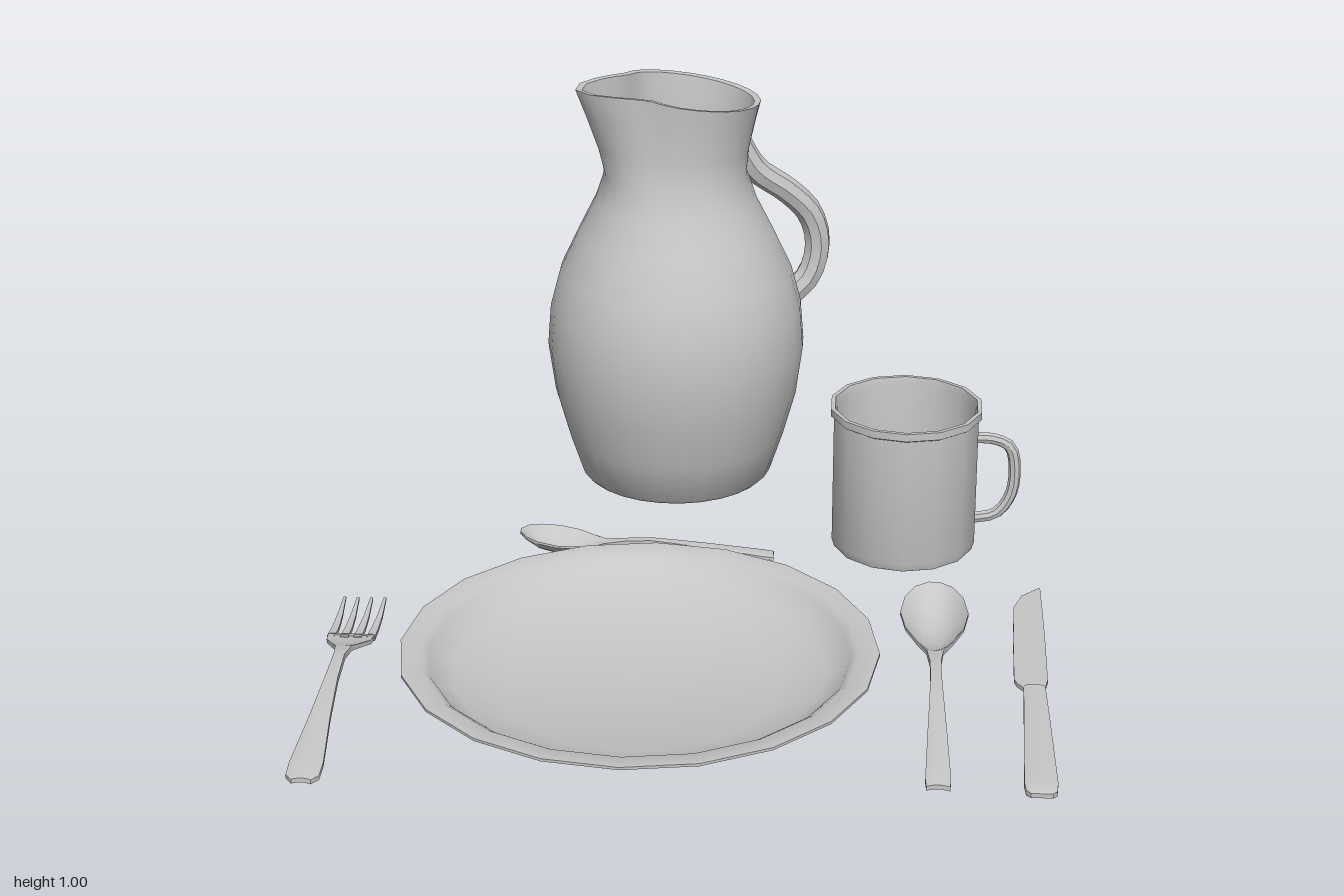
import * as THREE from 'three';
import { toCreasedNormals } from 'three/addons/utils/BufferGeometryUtils.js';

const grey = new THREE.MeshStandardMaterial({ color: 0xc6c6c6 });
grey.name = 'grey';

function part(name, geometry, crease = 0.7) {
  geometry.deleteAttribute('uv');
  const mesh = new THREE.Mesh(toCreasedNormals(geometry, crease), grey);
  mesh.name = name;
  return mesh;
}

const lathe = (points, sides) =>
  new THREE.LatheGeometry(points.map(([r, y]) => new THREE.Vector2(r, y)), sides);

// Tube through points in the x-y plane, scaled in z for flat straps
function strap(points, radius, flat = 1) {
  const path = new THREE.CatmullRomCurve3(points.map(([x, y]) => new THREE.Vector3(x, y, 0)));
  return new THREE.TubeGeometry(path, 16, radius, 8).scale(1, 1, flat);
}

// Solid strip along z; stations are [z, centreX, halfWidth, y, thickness, hollowDepth]
function strip(stations) {
  const M = 7, ring = M * 2, pos = [], idx = [];
  for (const [z, cx, hw, y, t, hollow = 0] of stations) {
    for (let k = 0; k < ring; k++) {
      const top = k < M;
      const u = ((top ? k : ring - 1 - k) / (M - 1)) * 2 - 1;
      pos.push(cx + u * hw, y - hollow * (1 - u * u) + (top ? t / 2 : -t / 2), z);
    }
  }
  const last = stations.length - 1;
  for (let i = 0; i < last; i++) {
    for (let j = 0; j < ring; j++) {
      const a = i * ring + j, b = i * ring + (j + 1) % ring;
      idx.push(a, a + ring, b, a + ring, b + ring, b);
    }
  }
  for (let j = 1; j < ring - 1; j++) {
    idx.push(0, j, j + 1);
    idx.push(last * ring, last * ring + j + 1, last * ring + j);
  }
  const g = new THREE.BufferGeometry();
  g.setAttribute('position', new THREE.Float32BufferAttribute(pos, 3));
  g.setIndex(idx);
  return g;
}

function createPitcher() {
  const group = new THREE.Group();
  group.name = 'pitcher';
  const body = lathe([
    [0, 0], [0.225, 0], [0.235, 0.01], [0.268, 0.11], [0.298, 0.22], [0.314, 0.34], [0.306, 0.44],
    [0.282, 0.53], [0.235, 0.63], [0.195, 0.71], [0.17, 0.78], [0.163, 0.85], [0.163, 0.93], [0.165, 1],
    [0.15, 0.998], [0.148, 0.93], [0.148, 0.85], [0.155, 0.78], [0.18, 0.71], [0.22, 0.63],
    [0.265, 0.53], [0.297, 0.36], [0.25, 0.11], [0.21, 0.025], [0, 0.025],
  ], 28);
  // Pull out the spout, pinch beside it and lower the rim toward the handle
  const p = body.attributes.position;
  for (let i = 0; i < p.count; i++) {
    const x = p.getX(i), y = p.getY(i), z = p.getZ(i), r = Math.hypot(x, z);
    if (y < 0.77 || r < 0.01) continue;
    const w = (y - 0.77) / 0.23;
    const a = Math.abs(Math.atan2(z, -x));
    const back = (1 - Math.cos(a)) / 2;
    const spout = 0.08 * Math.exp(-((a / 0.45) ** 2));
    const pinch = 0.014 * Math.exp(-(((a - 0.9) / 0.25) ** 2));
    const k = (r + w * (spout - pinch + 0.04 * back ** 2)) / r;
    p.setXYZ(i, x * k, y - 0.05 * w * back ** 1.3, z * k);
  }
  group.add(part('pitcherBody', body, 0.8));
  group.add(part('pitcherHandle', strap([
    [0.16, 0.83], [0.2, 0.765], [0.285, 0.7], [0.34, 0.64], [0.362, 0.56], [0.34, 0.475], [0.285, 0.425],
  ], 0.032)));
  group.position.set(-0.09, 0, -0.69);
  group.rotation.y = 0.34;
  return group;
}

function createMug() {
  const group = new THREE.Group();
  group.name = 'mug';
  group.add(part('mugBody', lathe([
    [0, 0], [0.145, 0], [0.165, 0.01], [0.171, 0.03], [0.171, 0.338], [0.178, 0.342], [0.178, 0.36],
    [0.168, 0.36], [0.164, 0.34], [0.164, 0.03], [0.15, 0.015], [0, 0.015],
  ], 14)));
  group.add(part('mugHandle', strap([
    [0.16, 0.28], [0.205, 0.278], [0.243, 0.26], [0.256, 0.2], [0.248, 0.135], [0.215, 0.088], [0.16, 0.075],
  ], 0.014, 0.9)));
  group.position.set(0.473, 0, -0.27);
  return group;
}

function createPlate() {
  const plate = part('plate', lathe([
    [0, 0], [0.28, 0], [0.37, 0.032], [0.51, 0.102], [0.51, 0.108], [0.465, 0.106], [0.45, 0.096],
    [0.435, 0.075], [0.4, 0.058], [0.3, 0.022], [0, 0.016],
  ], 20), 0.9);
  plate.position.set(-0.09, 0, 0.49);
  return plate;
}

function createSpoon(name) {
  return part(name, strip([
    [0.09, 0, 0.012, 0.078, 0.008, 0], [0.11, 0, 0.042, 0.076, 0.008, 0.018],
    [0.15, 0, 0.065, 0.07, 0.008, 0.04], [0.21, 0, 0.075, 0.062, 0.008, 0.048],
    [0.27, 0, 0.064, 0.055, 0.008, 0.04], [0.32, 0, 0.04, 0.048, 0.009, 0.02],
    [0.36, 0, 0.018, 0.045, 0.012, 0], [0.42, 0, 0.012, 0.05, 0.016],
    [0.5, 0, 0.012, 0.054, 0.016], [0.58, 0, 0.015, 0.048, 0.014],
    [0.7, 0, 0.02, 0.036, 0.012, -0.004], [0.86, 0, 0.026, 0.018, 0.01, -0.004],
    [0.885, 0, 0.024, 0.015, 0.01, -0.004],
  ]));
}

function createFork() {
  const group = new THREE.Group();
  group.name = 'fork';
  group.add(part('forkHandle', strip([
    [0.31, 0, 0.051, 0.02, 0.01, 0.006], [0.345, 0, 0.049, 0.024, 0.01, 0.006],
    [0.38, 0, 0.034, 0.034, 0.01, 0.003], [0.41, 0, 0.018, 0.042, 0.012],
    [0.46, 0, 0.012, 0.048, 0.014], [0.56, 0, 0.014, 0.044, 0.014],
    [0.7, 0, 0.022, 0.03, 0.012, -0.004], [0.86, 0, 0.035, 0.012, 0.01, -0.006],
    [0.905, 0, 0.034, 0.008, 0.01, -0.006], [0.922, 0, 0.02, 0.007, 0.01, -0.004],
  ])));
  for (const x of [-0.044, -0.0147, 0.0147, 0.044]) {
    group.add(part('forkTine', strip([
      [0.13, x * 1.04, 0.003, 0.022, 0.005], [0.2, x * 1.02, 0.006, 0.012, 0.008],
      [0.26, x, 0.008, 0.012, 0.009], [0.32, x, 0.009, 0.019, 0.01],
    ])));
  }
  group.position.x = -0.74;
  return group;
}

function createKnife() {
  const group = new THREE.Group();
  group.name = 'knife';
  group.add(part('knifeBlade', strip([
    [-0.01, 0.781, 0.003, 0.02, 0.005], [0.03, 0.762, 0.022, 0.02, 0.006],
    [0.09, 0.752, 0.032, 0.02, 0.007], [0.25, 0.748, 0.035, 0.02, 0.008],
    [0.43, 0.744, 0.036, 0.02, 0.008], [0.45, 0.745, 0.031, 0.02, 0.009],
    [0.47, 0.75, 0.022, 0.02, 0.01],
  ])));
  group.add(part('knifeHandle', strip([
    [0.46, 0.75, 0.023, 0.02, 0.012, -0.004], [0.6, 0.749, 0.027, 0.019, 0.012, -0.004],
    [0.86, 0.746, 0.034, 0.016, 0.012, -0.004], [0.89, 0.746, 0.031, 0.015, 0.012, -0.003],
    [0.9, 0.746, 0.022, 0.015, 0.01],
  ])));
  return group;
}

export function createModel() {
  const model = new THREE.Group();
  model.name = 'tableSetting';
  const spoon = createSpoon('soupSpoon');
  spoon.position.x = 0.54;
  // Smaller spoon lying across the top of the plate
  const small = createSpoon('dessertSpoon');
  small.scale.setScalar(0.745);
  small.rotation.y = Math.PI / 2;
  small.position.set(-0.487, 0, -0.167);
  model.add(createPitcher(), createMug(), createPlate(), createFork(), createKnife(), spoon, small);
  return model;
}
